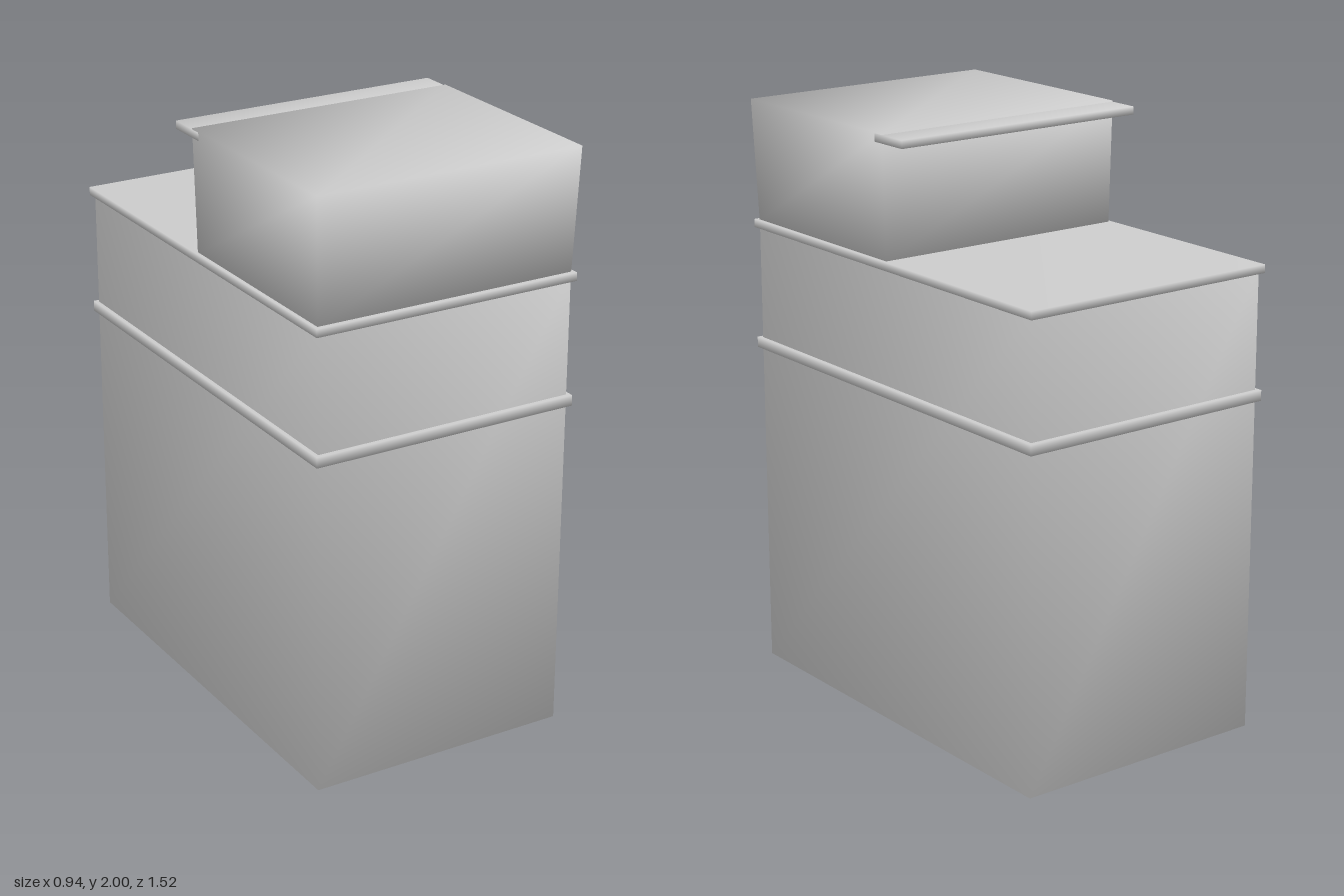
import * as THREE from 'three';
import { mergeVertices } from 'three/addons/utils/BufferGeometryUtils.js';

const material = new THREE.MeshStandardMaterial({ color: 0xcccccc });

// Box between two corners, with corners shared so the shading runs smoothly round the edges.
// reshape may move each corner.
function softBox(name, [x0, y0, z0], [x1, y1, z1], reshape) {
  let geometry = new THREE.BoxGeometry(x1 - x0, y1 - y0, z1 - z0);
  geometry.translate((x0 + x1) / 2, (y0 + y1) / 2, (z0 + z1) / 2);
  geometry.deleteAttribute('normal');
  geometry.deleteAttribute('uv');
  geometry = mergeVertices(geometry);
  if (reshape) {
    const p = geometry.attributes.position;
    const v = new THREE.Vector3();
    for (let i = 0; i < p.count; i++) {
      reshape(v.fromBufferAttribute(p, i));
      p.setXYZ(i, v.x, v.y, v.z);
    }
  }
  geometry.computeVertexNormals();
  const mesh = new THREE.Mesh(geometry, material);
  mesh.name = name;
  return mesh;
}

export function createModel() {
  const model = new THREE.Group();
  model.name = 'cabinetBin';

  // Tall main body
  model.add(softBox('body', [-0.457, 0, -0.745], [0.457, 1.575, 0.748]));

  // Projecting trim around the body, and the slab closing its top
  model.add(softBox('middleBand', [-0.47, 1.137, -0.76], [0.47, 1.173, 0.763]));
  model.add(softBox('topSlab', [-0.47, 1.56, -0.76], [0.47, 1.588, 0.763]));

  // Front hood, flaring slightly towards its top
  model.add(softBox('hood', [-0.47, 1.585, 0], [0.47, 2, 0.763], (v) => {
    if (v.y < 1.8) {
      v.x *= 0.975;
      if (v.z > 0.1) v.z = 0.747;
    }
  }));

  // Lip along the hood's upper back edge
  model.add(softBox('rearLip', [-0.47, 1.969, -0.108], [0.47, 1.996, 0.04]));

  return model;
}
